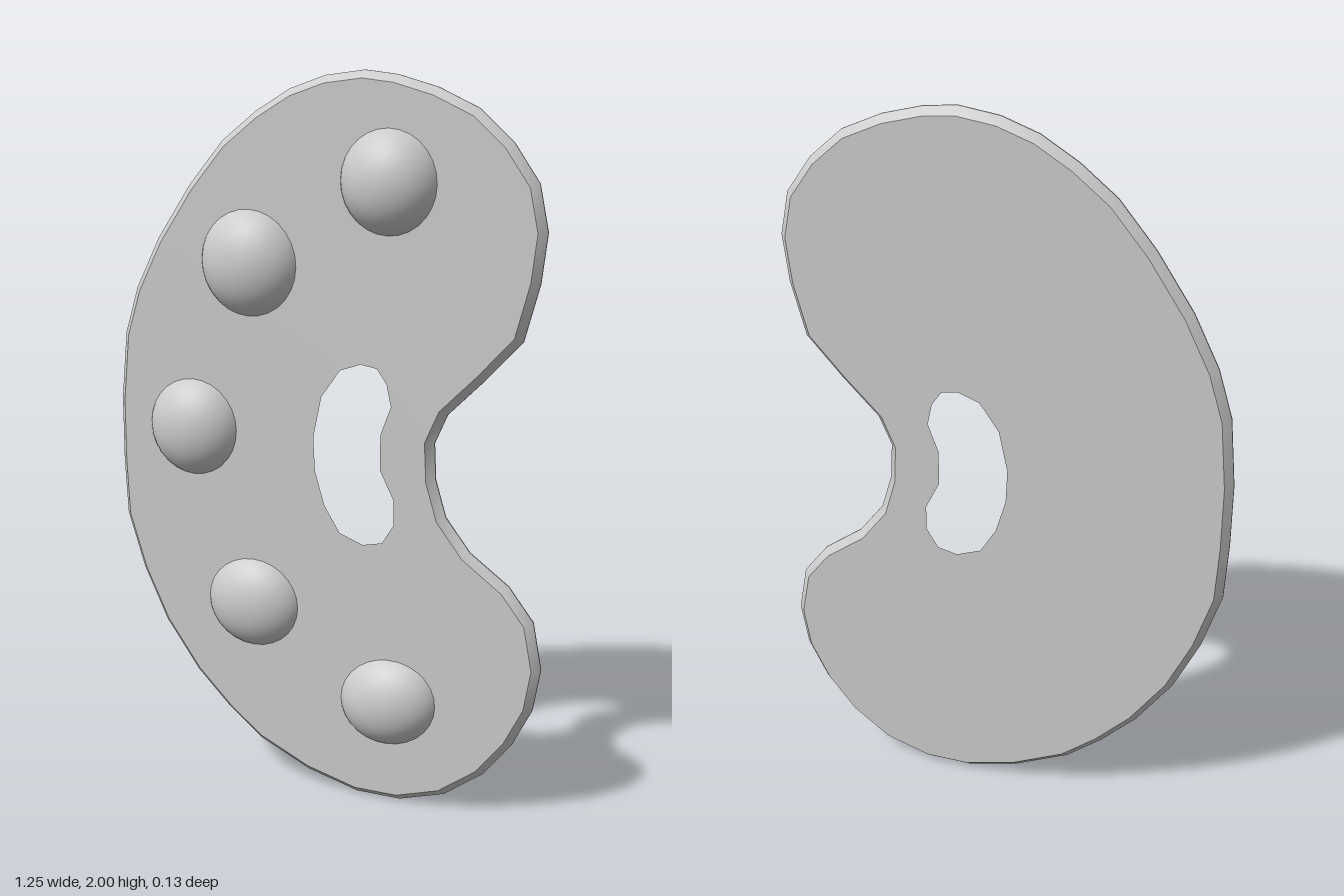
import * as THREE from 'three';
import { toCreasedNormals } from 'three/addons/utils/BufferGeometryUtils.js';

const material = () => new THREE.MeshStandardMaterial({ color: 0xcccccc });
const toPoints = (list) => list.map(([x, y]) => new THREE.Vector2(x, y));

// Kidney-shaped outer edge, clockwise from the top
const OUTLINE = [
  [0.11, 2], [0.2, 1.99], [0.31, 1.96], [0.42, 1.91], [0.51, 1.83], [0.58, 1.73], [0.605, 1.61],
  [0.59, 1.48], [0.55, 1.33], [0.45, 1.22], [0.35, 1.12], [0.315, 1.04], [0.32, 0.94], [0.35, 0.84],
  [0.42, 0.75], [0.53, 0.67], [0.6, 0.58], [0.625, 0.45], [0.605, 0.33], [0.55, 0.22], [0.47, 0.12],
  [0.36, 0.04], [0.23, 0], [0.1, 0], [-0.05, 0.04], [-0.2, 0.11], [-0.3, 0.19], [-0.4, 0.29],
  [-0.5, 0.43], [-0.57, 0.58], [-0.62, 0.74], [-0.628, 0.9], [-0.628, 1.08], [-0.61, 1.27],
  [-0.57, 1.4], [-0.5, 1.54], [-0.4, 1.69], [-0.3, 1.81], [-0.2, 1.89], [-0.1, 1.95], [0, 1.985],
];

// Thumb hole
const HOLE = [
  [0.11, 1.26], [0.17, 1.25], [0.205, 1.2], [0.22, 1.13], [0.19, 1.05], [0.19, 0.96], [0.23, 0.88],
  [0.23, 0.8], [0.19, 0.735], [0.12, 0.72], [0.04, 0.75], [-0.01, 0.83], [-0.04, 0.93],
  [-0.045, 1.03], [-0.02, 1.15], [0.04, 1.235],
];

// Paint blobs: centre x, y, radii across and up, height, turn
const BLOBS = [
  [0.185, 1.72, 0.133, 0.137, 0.08, 0],
  [-0.215, 1.49, 0.14, 0.144, 0.075, 0.2],
  [-0.39, 1.022, 0.133, 0.136, 0.072, 0],
  [-0.21, 0.53, 0.137, 0.127, 0.062, 0],
  [0.198, 0.295, 0.14, 0.123, 0.067, 0.25],
];

const FRONT_Z = -0.015;

// Board with chamfered rims that meet in a ridge at mid thickness
function createBoard() {
  const shape = new THREE.Shape(toPoints(OUTLINE));
  shape.holes.push(new THREE.Path(toPoints(HOLE)));
  const geometry = new THREE.ExtrudeGeometry(shape, {
    depth: 0.004, bevelEnabled: true, bevelSegments: 1,
    bevelThickness: 0.023, bevelSize: 0.02, bevelOffset: -0.02,
  });
  geometry.translate(0, 0, FRONT_Z - 0.027);
  const board = new THREE.Mesh(toCreasedNormals(geometry, 0.6), material());
  board.name = 'board';
  return board;
}

// Spherical cap with unit base radius and unit height, facing +z
function createCapGeometry(angle = 1.2) {
  const geometry = new THREE.SphereGeometry(1, 28, 10, 0, Math.PI * 2, 0, angle);
  geometry.translate(0, -Math.cos(angle), 0);
  geometry.rotateX(Math.PI / 2);
  geometry.scale(1 / Math.sin(angle), 1 / Math.sin(angle), 1 / (1 - Math.cos(angle)));
  return geometry;
}

export function createModel() {
  const model = new THREE.Group();
  model.name = 'paintPalette';
  model.add(createBoard());

  const cap = createCapGeometry();
  BLOBS.forEach(([x, y, rx, ry, height, turn], i) => {
    const blob = new THREE.Mesh(cap, material());
    blob.name = `paintBlob${i + 1}`;
    blob.position.set(x, y, FRONT_Z);
    blob.scale.set(rx, ry, height);
    blob.rotation.z = turn;
    model.add(blob);
  });
  return model;
}
